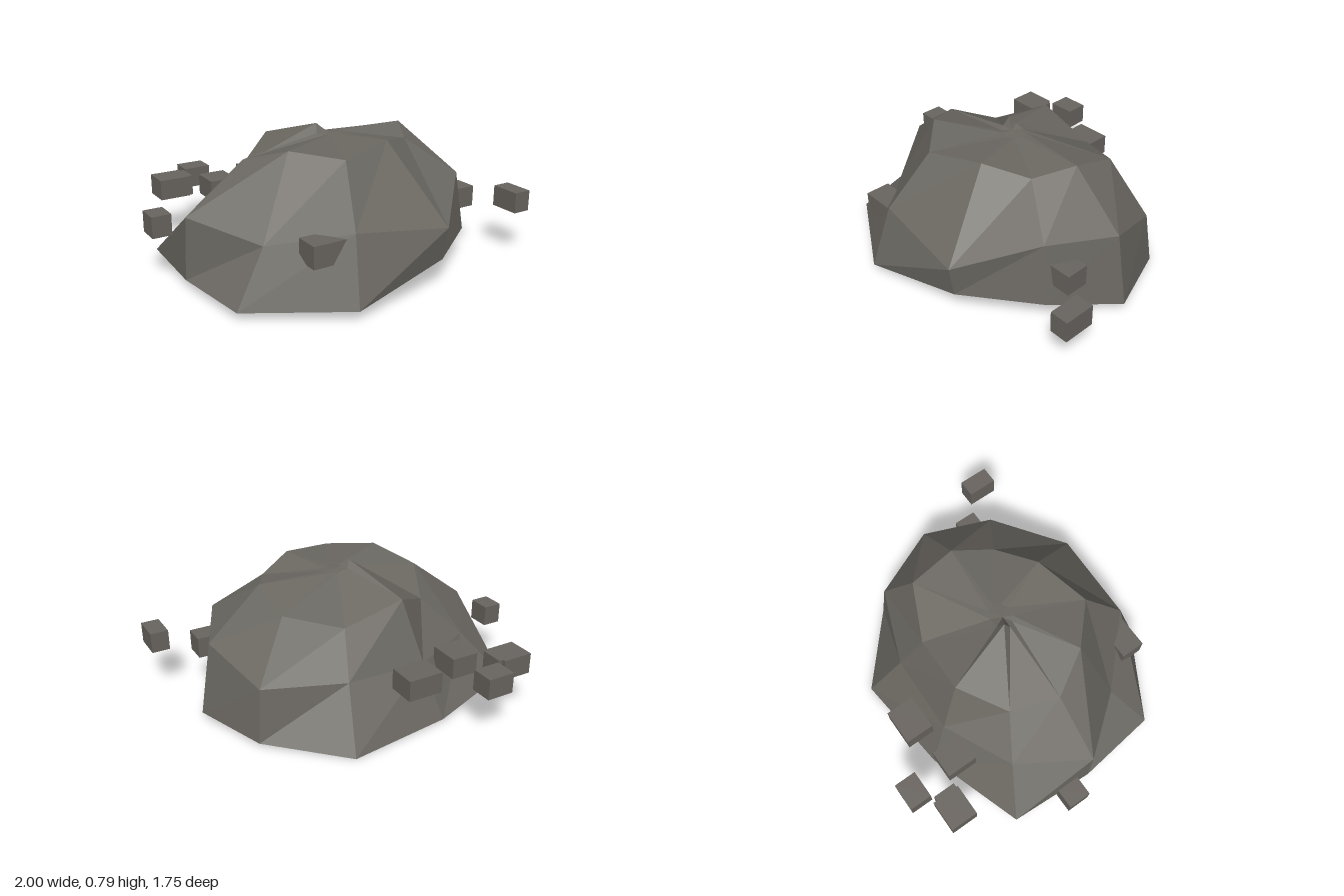
import * as THREE from 'three';

// Cross-sections of the boulder, ten corners each, counter-clockwise from +x seen from above
const RINGS = [
  // ground edge
  [[0.87, 0.045, 0.09], [0.71, 0.025, -0.32], [0.32, 0, -0.665], [-0.28, 0.015, -0.6], [-0.85, 0.045, -0.41],
    [-0.88, 0.052, 0.09], [-0.82, 0.05, 0.57], [-0.305, 0.05, 0.87], [0.29, 0.155, 0.77], [0.68, 0.157, 0.48]],
  // waist
  [[0.8, 0.46, 0.09], [0.68, 0.33, -0.29], [0.245, 0.33, -0.46], [-0.22, 0.33, -0.47], [-0.62, 0.33, -0.28],
    [-0.865, 0.4, 0.09], [-0.6, 0.305, 0.44], [-0.26, 0.41, 0.76], [0.295, 0.34, 0.8], [0.63, 0.5, 0.46]],
  // shoulder
  [[0.49, 0.74, 0.09], [0.485, 0.66, -0.18], [0.19, 0.575, -0.32], [-0.16, 0.67, -0.335], [-0.41, 0.55, -0.155],
    [-0.525, 0.66, 0.09], [-0.385, 0.74, 0.325], [-0.17, 0.71, 0.53], [0.15, 0.75, 0.44], [0.375, 0.7, 0.3]],
  // small crown
  [[0.09, 0.735, 0.09], [0.07, 0.735, 0.05], [0.03, 0.735, 0.03], [-0.03, 0.75, 0.03], [-0.055, 0.79, 0.06],
    [-0.07, 0.74, 0.09], [-0.05, 0.73, 0.12], [-0.02, 0.735, 0.14], [0.03, 0.735, 0.15], [0.07, 0.735, 0.13]],
];

// Loose stones: x min, x max, z min, z max
const STONES = [
  [-0.51, -0.35, -0.88, -0.75],
  [-0.73, -0.55, -0.76, -0.6],
  [-0.66, -0.525, -0.74, -0.61],
  [-0.48, -0.32, -0.61, -0.43],
  [-0.19, 0.015, -0.69, -0.525],
  [-1, -0.89, -0.17, -0.04],
  [-0.49, -0.285, 0.605, 0.745],
  [0.66, 0.785, 0.31, 0.44],
  [0.895, 1, 0.5, 0.675],
];

function boulderGeometry() {
  const pos = [];
  const tri = (a, b, c) => pos.push(...a, ...b, ...c);
  const n = RINGS[0].length;
  const bottom = [0, 0.035, 0.09];
  const top = [0, 0.74, 0.09];
  for (let i = 0; i < n; i++) {
    const j = (i + 1) % n;
    // sides
    for (let r = 0; r < RINGS.length - 1; r++) {
      const lo = RINGS[r], hi = RINGS[r + 1];
      tri(lo[i], lo[j], hi[j]);
      tri(lo[i], hi[j], hi[i]);
    }
    // caps
    tri(bottom, RINGS[0][j], RINGS[0][i]);
    tri(top, RINGS[3][i], RINGS[3][j]);
  }
  const geo = new THREE.BufferGeometry();
  geo.setAttribute('position', new THREE.Float32BufferAttribute(pos, 3));
  geo.computeVertexNormals();
  return geo;
}

export function createModel() {
  const group = new THREE.Group();
  group.name = 'rockPile';

  const rock = new THREE.MeshStandardMaterial({ color: 0x6b6862 });
  rock.name = 'grey rock';
  rock.flatShading = true;
  const stone = new THREE.MeshStandardMaterial({ color: 0x69645f });
  stone.name = 'warm grey stone';

  const boulder = new THREE.Mesh(boulderGeometry(), rock);
  boulder.name = 'boulder';
  group.add(boulder);

  // Loose stones around the boulder, all at one height
  const stones = new THREE.Group();
  stones.name = 'looseStones';
  STONES.forEach(([x0, x1, z0, z1], i) => {
    const mesh = new THREE.Mesh(new THREE.BoxGeometry(x1 - x0, 0.12, z1 - z0), stone);
    mesh.position.set((x0 + x1) / 2, 0.325, (z0 + z1) / 2);
    mesh.name = `stone${i + 1}`;
    stones.add(mesh);
  });
  group.add(stones);
  return group;
}
